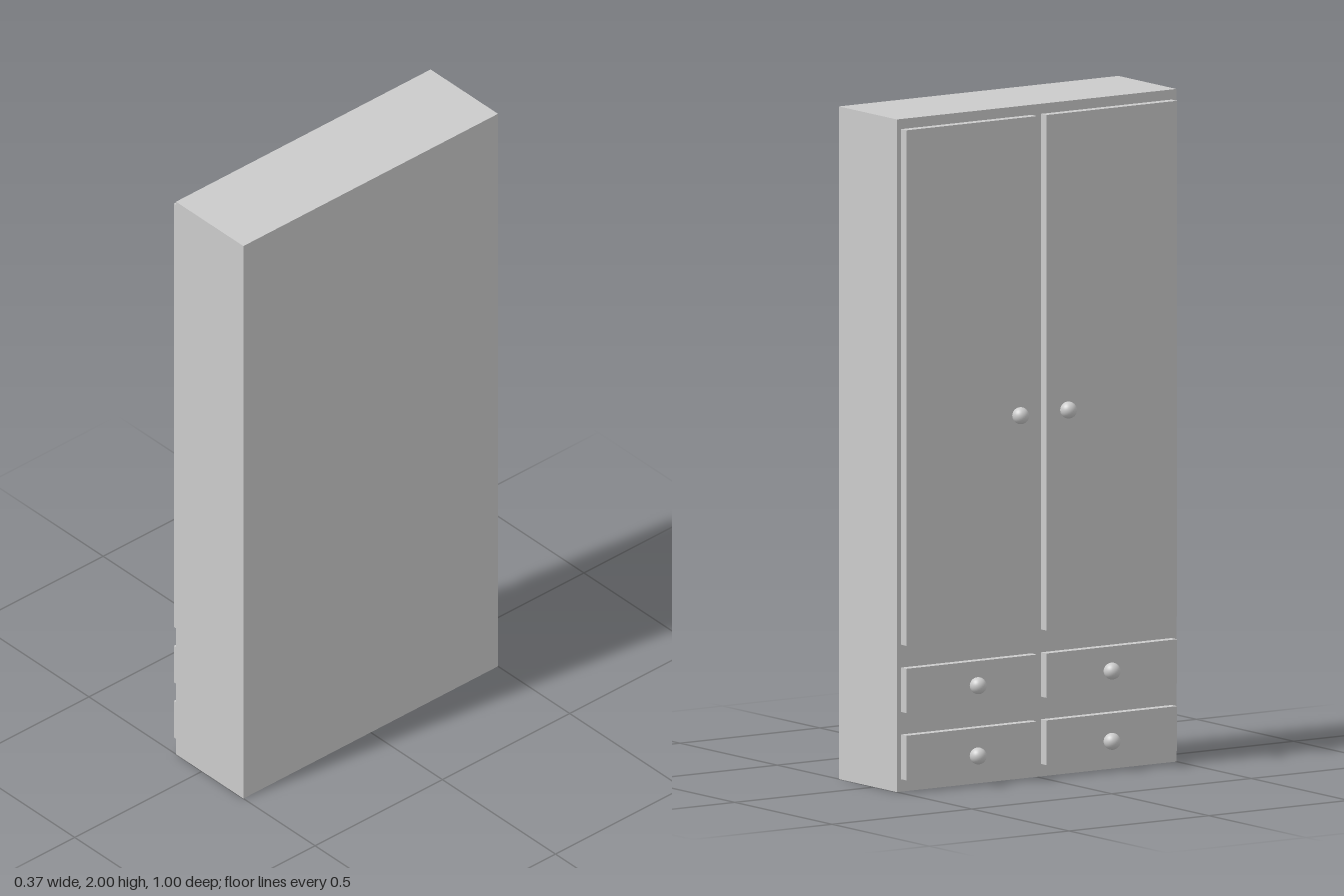
import * as THREE from 'three';

export function createModel() {
  const model = new THREE.Group();
  const material = new THREE.MeshStandardMaterial({ color: 0xcccccc });

  // Box given by its lower and upper corners
  function box(name, [x0, y0, z0], [x1, y1, z1]) {
    const mesh = new THREE.Mesh(new THREE.BoxGeometry(x1 - x0, y1 - y0, z1 - z0), material);
    mesh.name = name;
    mesh.position.set((x0 + x1) / 2, (y0 + y1) / 2, (z0 + z1) / 2);
    model.add(mesh);
  }

  const knobGeometry = new THREE.SphereGeometry(0.025, 32, 16);
  function knob(name, x, y, z) {
    const mesh = new THREE.Mesh(knobGeometry, material);
    mesh.name = name;
    mesh.position.set(x, y, z);
    model.add(mesh);
  }

  // Cabinet body; its doors and drawers are on the -x side
  const face = -0.115, panelFace = -0.143;
  box('cabinetBody', [face, 0, -0.5], [0.183, 2, 0.5]);

  // Two columns, each with a tall door above two drawers
  const columns = [
    { side: 'back', z0: -0.485, z1: -0.018, doorKnob: [-0.161, -0.089], drawerKnobZ: -0.241 },
    { side: 'front', z0: 0.016, z1: 0.483, doorKnob: [-0.154, 0.087], drawerKnobZ: 0.238 },
  ];
  const drawers = [
    { row: 'Upper', y0: 0.237, y1: 0.369, knobY: 0.299 },
    { row: 'Lower', y0: 0.037, y1: 0.17, knobY: 0.09 },
  ];
  for (const { side, z0, z1, doorKnob, drawerKnobZ } of columns) {
    box(`${side}Door`, [panelFace, 0.437, z0], [face, 1.97, z1]);
    knob(`${side}DoorKnob`, doorKnob[0], 1.088, doorKnob[1]);
    for (const { row, y0, y1, knobY } of drawers) {
      box(`${side}${row}Drawer`, [panelFace, y0, z0], [face, y1, z1]);
      knob(`${side}${row}DrawerKnob`, -0.161, knobY, drawerKnobZ);
    }
  }
  return model;
}
